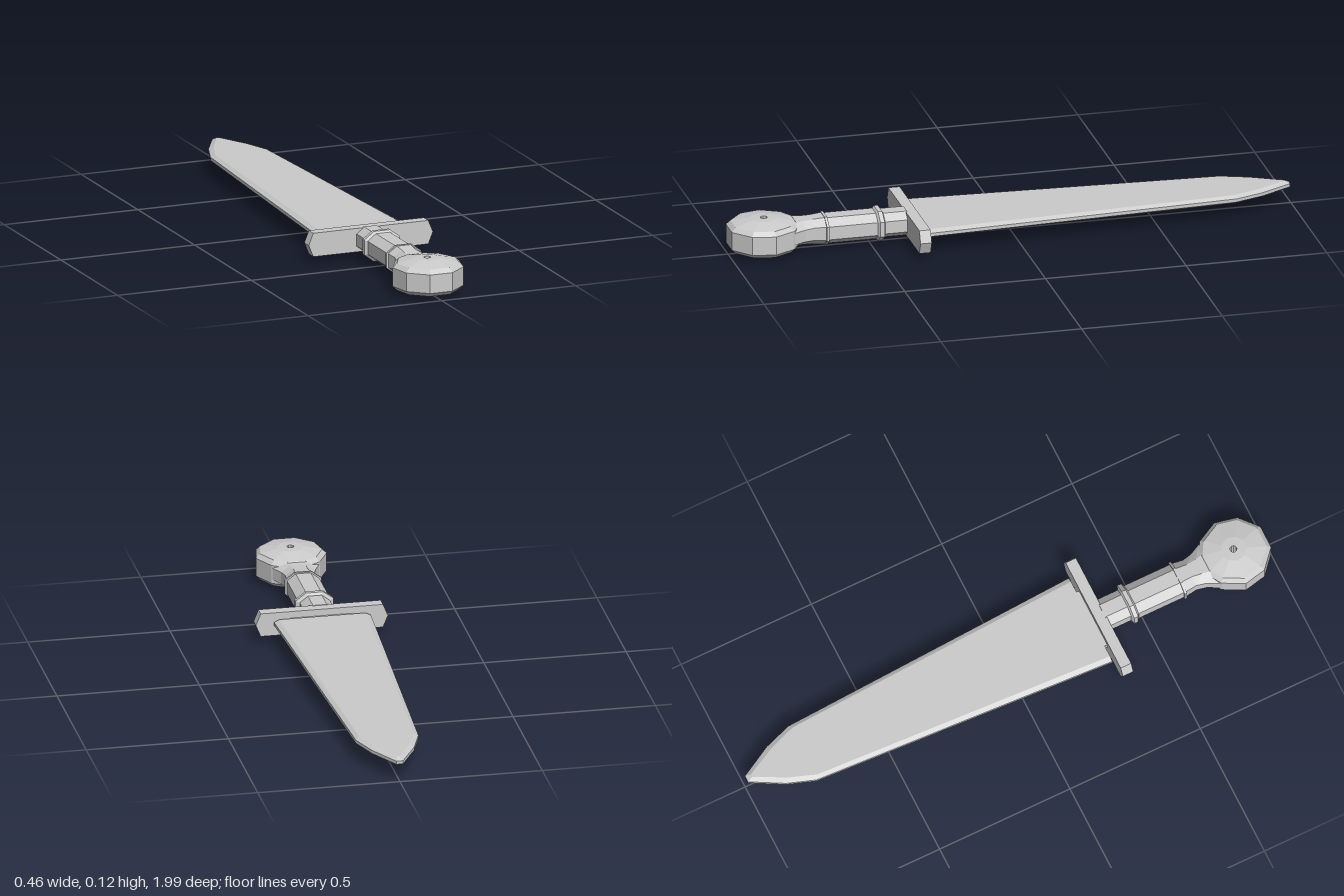
import * as THREE from 'three';

const MID = 0.066; // height of the long axis

// Flat-shaded skin over equal-length rings of [x, y, z]; closed by end caps, or by joining last ring to first
function loft(name, rings, joinEnds = false) {
  const pos = [], n = rings[0].length;
  const tri = (a, b, c) => pos.push(...a, ...b, ...c);
  const count = joinEnds ? rings.length : rings.length - 1;
  for (let r = 0; r < count; r++) {
    const a = rings[r], b = rings[(r + 1) % rings.length];
    for (let i = 0; i < n; i++) {
      const j = (i + 1) % n;
      tri(a[i], a[j], b[j]);
      tri(a[i], b[j], b[i]);
    }
  }
  if (!joinEnds) {
    const first = rings[0], last = rings[rings.length - 1];
    for (let i = 1; i < n - 1; i++) {
      tri(first[0], first[i + 1], first[i]);
      tri(last[0], last[i], last[i + 1]);
    }
  }
  // turn the skin outward if its signed volume is negative
  let volume = 0;
  const v = (k) => new THREE.Vector3().fromArray(pos, k);
  for (let k = 0; k < pos.length; k += 9) volume += v(k).dot(v(k + 3).cross(v(k + 6)));
  if (volume < 0) {
    for (let k = 0; k < pos.length; k += 9) {
      for (let c = 0; c < 3; c++) [pos[k + 3 + c], pos[k + 6 + c]] = [pos[k + 6 + c], pos[k + 3 + c]];
    }
  }
  const geo = new THREE.BufferGeometry();
  geo.setAttribute('position', new THREE.Float32BufferAttribute(pos, 3));
  geo.computeVertexNormals();
  const mesh = new THREE.Mesh(geo, new THREE.MeshStandardMaterial({ color: 0xcccccc, flatShading: true }));
  mesh.name = name;
  return mesh;
}

// Mirror a right-hand [x, z] profile into a full outline
const mirror = (half) => [...half, ...half.slice().reverse().map(([x, z]) => [-x, z])];

// Octagonal cross-section, half width w and half height h, at z
const octagon = (z, w, h) =>
  [[0.46, 1], [1, 0.5], [1, -0.5], [0.46, -1], [-0.46, -1], [-1, -0.5], [-1, 0.5], [-0.46, 1]]
    .map(([x, y]) => [x * w, MID + y * h, z]);
const octagons = (name, list) => loft(name, list.map((s) => octagon(...s)));

export function createModel() {
  const group = new THREE.Group();
  group.name = 'shortSword';

  // Blade: flat faces with a narrow bevel round the edge
  const edge = mirror([[0.17, 0.325], [0.11, -0.78], [0.075, -0.88], [0.012, -0.995]]);
  const face = mirror([[0.152, 0.325], [0.096, -0.77], [0.062, -0.865], [0.005, -0.975]]);
  const layer = (outline, y) => outline.map(([x, z]) => [x, 0.071 + y, z]);
  group.add(loft('blade', [layer(face, -0.015), layer(edge, -0.006), layer(edge, 0.006), layer(face, 0.015)]));

  // Shoulder joining blade and guard
  const shoulder = mirror([[0.11, 0.34], [0.11, 0.32]]);
  group.add(loft('bladeShoulder', [layer(shoulder, -0.013), layer(shoulder, 0.013)]));

  // Crossguard: long bar with pointed ends
  const bar = [[0.215, 0.042], [0.232, 0], [0.215, -0.042], [-0.215, -0.042], [-0.232, 0], [-0.215, 0.042]];
  group.add(loft('crossguard', [0.335, 0.375].map((z) => bar.map(([x, y]) => [x, MID + y, z]))));

  // Grip, its collar ring and the neck flaring into the pommel
  group.add(octagons('gripBase', [[0.37, 0.053, 0.044], [0.465, 0.053, 0.044]]));
  group.add(octagons('gripCollar', [
    [0.455, 0.055, 0.046], [0.46, 0.067, 0.054], [0.475, 0.067, 0.054], [0.482, 0.057, 0.046],
  ]));
  group.add(octagons('grip', [[0.475, 0.057, 0.047], [0.655, 0.057, 0.047]]));
  group.add(octagons('gripEndBand', [[0.655, 0.064, 0.051], [0.664, 0.064, 0.051]]));
  group.add(octagons('neck', [
    [0.66, 0.058, 0.049], [0.705, 0.052, 0.045], [0.74, 0.06, 0.043], [0.785, 0.083, 0.043], [0.83, 0.09, 0.043],
  ]));

  // Pommel: faceted disc, domed above and below, with a hole through the middle
  const rim = mirror([[0.042, 0.997], [0.107, 0.94], [0.124, 0.86], [0.085, 0.785], [0.035, 0.755]]);
  const cz = 0.873;
  const ring = (s, y) => rim.map(([x, z]) => [x * s, 0.064 + y, cz + (z - cz) * s]);
  const hole = (y) => rim.map(([x, z]) => {
    const r = 0.012 / Math.hypot(x, z - cz);
    return [x * r, 0.064 + y, cz + (z - cz) * r];
  });
  group.add(loft('pommel', [
    hole(-0.062), ring(0.36, -0.061), ring(0.88, -0.048), ring(1, -0.033),
    ring(1, 0.033), ring(0.88, 0.048), ring(0.36, 0.061), hole(0.062),
  ], true));

  return group;
}
